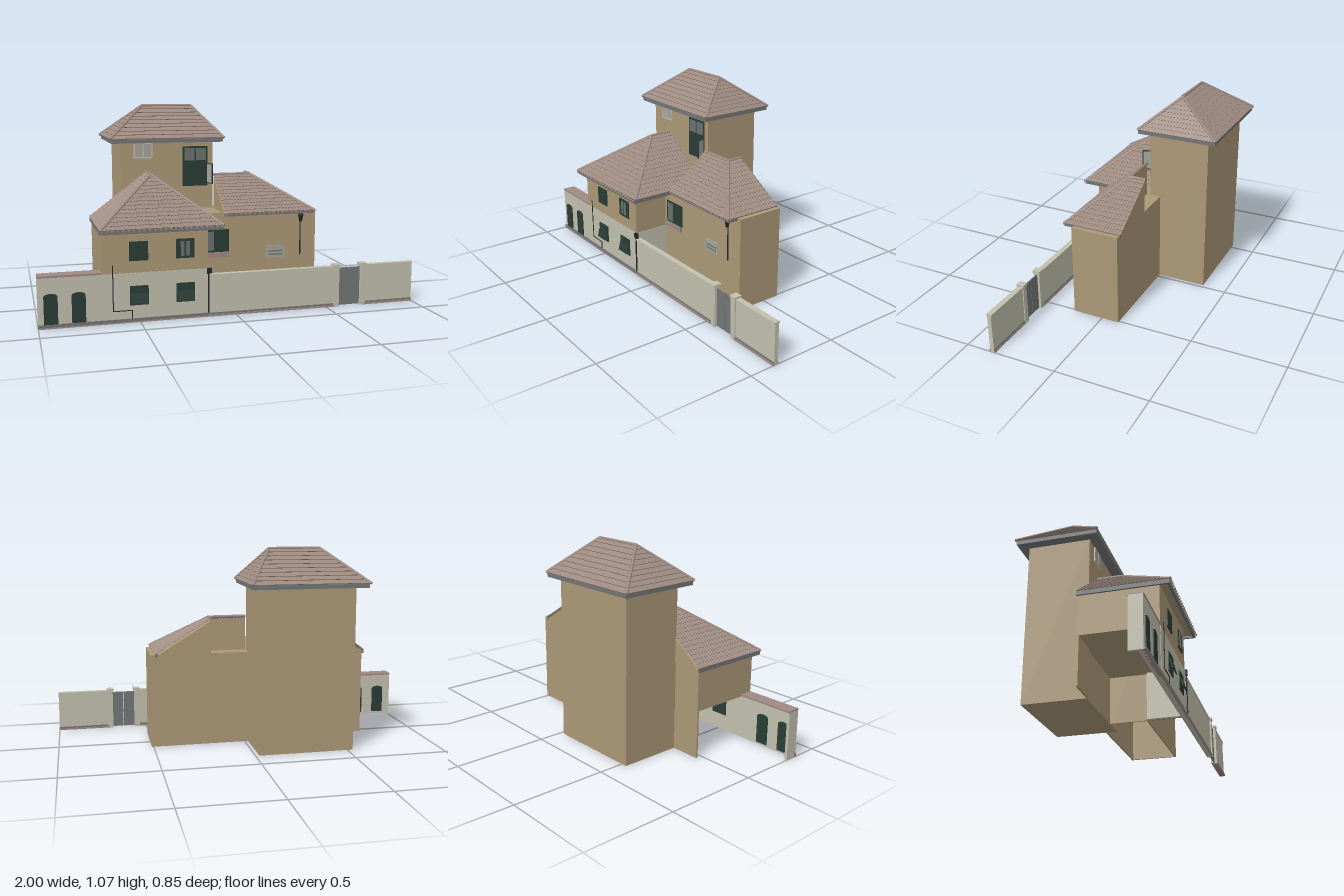
import * as THREE from 'three';
import { ConvexGeometry } from 'three/addons/geometries/ConvexGeometry.js';

const mat = (name, color, extra = {}) => Object.assign(new THREE.MeshStandardMaterial({ color, ...extra }), { name });
const V = (x, y, z) => new THREE.Vector3(x, y, z);

export function createModel() {
  const M = {
    tan: mat('tan plaster', 0xab9877),
    cream: mat('cream plaster', 0xc2c0ae),
    pink: mat('pink stone', 0xa08a85),
    tile: mat('roof tile', 0x9d8a80, { side: THREE.DoubleSide }),
    grey: mat('grey trim', 0x747777),
    green: mat('dark green joinery', 0x2a3d36),
    glass: mat('window glass', 0x69726f),
    pale: mat('pale glass', 0xa3a59c),
    black: mat('black iron', 0x1f2826),
  };
  const model = new THREE.Group();
  model.name = 'villa';

  const add = (name, geo, m, parent = model) => {
    const mesh = new THREE.Mesh(geo, m);
    mesh.name = name;
    parent.add(mesh);
    return mesh;
  };
  // Box given by its limits on each axis
  const box = (name, m, x0, x1, y0, y1, z0, z1, parent) => {
    const b = add(name, new THREE.BoxGeometry(x1 - x0, y1 - y0, z1 - z0), m, parent);
    b.position.set((x0 + x1) / 2, (y0 + y1) / 2, (z0 + z1) / 2);
    return b;
  };
  // Round bar between two points
  const bar = (name, m, p, q, r, parent) => {
    const d = q.clone().sub(p);
    const b = add(name, new THREE.CylinderGeometry(r, r, d.length(), 8), m, parent);
    b.position.copy(p).add(q).multiplyScalar(0.5);
    b.quaternion.setFromUnitVectors(V(0, 1, 0), d.normalize());
    return b;
  };

  // Stepped tile courses on a slope: a, b along the eave, c, d along the ridge
  const slope = (name, a, b, c, d, n, ribs = 0) => {
    const g = new THREE.Group();
    g.name = name;
    model.add(g);
    const normal = b.clone().sub(a).cross(d.clone().add(c).multiplyScalar(0.5).sub(a)).normalize();
    const pts = [];
    const quad = (p, q, r, s) => [p, q, r, p, r, s].forEach(v => pts.push(v.x, v.y, v.z));
    const at = (p, q, k) => p.clone().lerp(q, k / n);
    for (let i = 0; i < n; i++) {
      const a0 = at(a, d, i), b0 = at(b, c, i);
      const a1 = a0.clone().addScaledVector(normal, 0.004), b1 = b0.clone().addScaledVector(normal, 0.004);
      quad(a0, b0, b1, a1);
      quad(a1, b1, at(b, c, i + 1), at(a, d, i + 1));
    }
    const geo = new THREE.BufferGeometry();
    geo.setAttribute('position', new THREE.Float32BufferAttribute(pts, 3));
    geo.computeVertexNormals();
    add('tileCourses', geo, M.tile, g);
    // Ribs run straight up the slope and stop at the hips
    const u = b.clone().sub(a), L = u.length();
    u.normalize();
    const td = d.clone().sub(a).dot(u), tc = c.clone().sub(a).dot(u);
    const up = d.clone().sub(a).addScaledVector(u, -td);
    for (let i = 1; i < ribs; i++) {
      const t = L * i / ribs;
      const k = t < td ? t / td : t > tc ? (L - t) / (L - tc) : 1;
      const p = a.clone().addScaledVector(u, t).addScaledVector(normal, 0.001);
      bar('tileRib', M.tile, p, p.clone().addScaledVector(up, k), 0.0035, g);
    }
  };
  const caps = (...pairs) => pairs.forEach(([p, q]) => bar('ridgeCap', M.tile, p, q, 0.008));

  // ---- Tower ----
  box('tower', M.tan, -0.53, -0.02, 0, 0.87, -0.365, -0.035);
  box('towerEave', M.grey, -0.583, 0.025, 0.867, 0.888, -0.416, 0.017);
  {
    const y = 0.89, fl = V(-0.59, y, 0.02), fr = V(0.03, y, 0.02), br = V(0.03, y, -0.42), bl = V(-0.59, y, -0.42);
    const rl = V(-0.385, 1.06, -0.18), rr = V(-0.11, 1.06, -0.18);
    slope('towerRoofFront', fl, fr, rr, rl, 9);
    slope('towerRoofRight', fr, br, rr, rr, 9);
    slope('towerRoofBack', br, bl, rl, rr, 9);
    slope('towerRoofLeft', bl, fl, rl, rl, 9);
    caps([fl, rl], [bl, rl], [fr, rr], [br, rr], [rl, rr]);
  }

  // ---- Front left wing: open below its left side ----
  box('leftWingUpper', M.tan, -0.69, -0.15, 0.25, 0.475, -0.035, 0.36);
  box('leftWingBackWall', M.tan, -0.69, -0.53, 0, 0.25, -0.035, -0.025);
  box('leftWingLowerFront', M.cream, -0.69, -0.15, 0, 0.252, 0.335, 0.362);
  box('leftWingLowerSide', M.cream, -0.17, -0.148, 0, 0.252, 0.165, 0.36);
  box('sidePlinth', M.grey, -0.15, -0.144, 0, 0.02, 0.165, 0.345);
  {
    const y = 0.478, b = -0.04;
    const fl = V(-0.70, y, 0.415), fr = V(-0.077, y, 0.405), br = V(-0.077, y, b), bl = V(-0.70, y, b);
    const apex = V(-0.39, 0.708, 0.09), back = V(-0.39, 0.708, b);
    add('leftWingLoft', new ConvexGeometry([
      V(-0.69, 0.468, 0.405), V(-0.088, 0.468, 0.395), V(-0.088, 0.468, b), V(-0.69, 0.468, b),
      V(-0.39, 0.695, 0.09), V(-0.39, 0.695, b)]), M.tan);
    slope('leftWingRoofFront', fl, fr, apex, apex, 14, 36);
    slope('leftWingRoofRight', fr, br, back, apex, 14, 26);
    slope('leftWingRoofLeft', bl, fl, apex, back, 14, 26);
    caps([fl, apex], [fr, apex], [apex, back]);
    box('leftWingFasciaFront', M.grey, -0.70, -0.08, 0.457, 0.48, 0.397, 0.41);
    box('leftWingFasciaLeft', M.grey, -0.70, -0.69, 0.457, 0.48, b, 0.41);
    box('leftWingFasciaRight', M.grey, -0.09, -0.079, 0.457, 0.48, b, 0.4);
    for (let i = 0; i < 24; i++) bar('eaveTile', M.tile, V(-0.69 + i * 0.0262, 0.478, 0.39), V(-0.69 + i * 0.0262, 0.471, 0.42), 0.006);
  }

  // ---- Right wing: a shell open underneath ----
  box('rightWingFront', M.tan, -0.15, 0.51, 0, 0.5, 0.157, 0.165);
  box('rightWingEnd', M.tan, 0.502, 0.51, 0, 0.5, -0.095, 0.165);
  box('rightWingBack', M.tan, -0.02, 0.51, 0, 0.5, -0.095, -0.087);
  box('rightWingInnerSide', M.tan, -0.15, -0.142, 0, 0.5, -0.035, 0.165);
  box('rightWingCeiling', M.tan, -0.15, 0.51, 0.49, 0.5, -0.095, 0.165);
  {
    const y = 0.503, e = 0.222, r = -0.015, b = -0.1, top = 0.686;
    add('rightWingGable', new ConvexGeometry([
      V(-0.02, 0.495, 0.21), V(0.2, 0.495, 0.21), V(-0.02, 0.495, r), V(0.2, 0.495, r),
      V(-0.02, top - 0.012, r), V(0.185, top - 0.012, r)]), M.tan);
    add('rightWingLoft', new ConvexGeometry([
      V(0.185, 0.495, 0.21), V(0.475, 0.495, 0.21), V(0.475, 0.495, -0.095), V(0.185, 0.495, -0.095),
      V(0.185, top - 0.012, r), V(0.185, top - 0.012, -0.095)]), M.tan);
    const fl = V(-0.02, y, e), fr = V(0.485, y, e), br = V(0.485, y, b);
    const rl = V(-0.02, top, r), rr = V(0.185, top, r), rb = V(0.185, top, b);
    slope('rightWingRoofFront', fl, fr, rr, rl, 12, 30);
    slope('rightWingRoofRight', fr, br, rb, rr, 12, 20);
    caps([fr, rr], [rl, rr], [rr, rb]);
    box('rightWingFasciaFront', M.grey, -0.02, 0.485, 0.488, 0.507, 0.208, 0.219);
    box('rightWingFasciaRight', M.grey, 0.473, 0.484, 0.488, 0.507, b, 0.215);
    for (let i = 0; i < 20; i++) bar('eaveTile', M.tile, V(-0.01 + i * 0.0258, 0.503, 0.2), V(-0.01 + i * 0.0258, 0.499, 0.227), 0.006);
  }

  // ---- Street walls ----
  box('leftStreetWall', M.cream, -1, -0.69, 0, 0.255, 0.335, 0.36);
  box('leftStreetWallEnd', M.cream, -1, -0.985, 0, 0.255, 0.293, 0.336);
  box('leftWallCap', M.pink, -1, -0.69, 0.252, 0.262, 0.29, 0.362);
  box('leftPlinth', M.grey, -1, -0.15, 0.005, 0.02, 0.355, 0.368);
  box('leftPlinthBase', M.pink, -1, -0.15, 0, 0.006, 0.35, 0.37);
  [[-0.15, 0.545], [0.715, 1]].forEach(([x0, x1]) => {
    box('streetWall', M.cream, x0, x1, 0, 0.212, 0.342, 0.364);
    box('streetWallCap', M.cream, x0, x1, 0.21, 0.22, 0.338, 0.368);
    box('streetWallPlinth', M.grey, x0, x1, 0.008, 0.018, 0.34, 0.367);
    box('streetWallBase', M.pink, x0, x1, 0, 0.009, 0.337, 0.371);
  });
  [0.555, 0.708].forEach(x => {
    box('gatePost', M.cream, x - 0.015, x + 0.015, 0, 0.218, 0.337, 0.371);
    box('gatePostCap', M.cream, x - 0.019, x + 0.019, 0.216, 0.23, 0.333, 0.375);
  });
  [0.57, 0.634].forEach(x => box('gateLeaf', M.grey, x, x + 0.061, 0.004, 0.208, 0.35, 0.357));

  // ---- Doors with a low arch, visible on both faces of the wall ----
  [-0.938, -0.803].forEach(x => {
    const s = new THREE.Shape();
    s.moveTo(-0.034, 0).lineTo(0.034, 0).lineTo(0.034, 0.148);
    s.bezierCurveTo(0.026, 0.166, -0.026, 0.166, -0.034, 0.148);
    const door = add('archedDoor', new THREE.ExtrudeGeometry(s, { depth: 0.034, bevelEnabled: false }), M.green);
    door.position.set(x, 0.012, 0.331);
  });

  // ---- Windows ----
  const win = (name, x0, x1, y0, y1, z, m = M.green) => box(name, m, x0, x1, y0, y1, z - 0.004, z + 0.005);
  win('closedShutters', -0.552, -0.457, 0.313, 0.41, 0.361);
  win('openWindow', -0.315, -0.222, 0.313, 0.412, 0.361);
  win('windowPane', -0.292, -0.273, 0.325, 0.4, 0.363, M.glass);
  win('windowPane', -0.264, -0.245, 0.325, 0.4, 0.363, M.glass);
  [-0.504, -0.267].forEach(x => {
    box('lowerWindow', M.green, x - 0.047, x + 0.047, 0.088, 0.186, 0.331, 0.367);
    const flap = box('tiltedShutter', M.green, x - 0.044, x + 0.044, 0.1, 0.15, 0.374, 0.378);
    flap.rotation.x = -0.25;
  });
  win('sideWindow', -0.125, 0.015, 0.29, 0.412, 0.166);
  win('sideWindowPane', -0.115, -0.068, 0.3, 0.402, 0.168, M.glass);
  box('windowSill', M.pink, -0.13, 0.01, 0.262, 0.29, 0.16, 0.178);
  win('ventFrame', 0.228, 0.332, 0.243, 0.308, 0.165, M.pale);
  [0.257, 0.275].forEach(y => box('ventSlot', M.grey, 0.24, 0.32, y, y + 0.008, 0.168, 0.172));
  win('towerWindowFrame', -0.457, -0.355, 0.782, 0.866, -0.035, M.cream);
  win('towerPane', -0.45, -0.409, 0.79, 0.86, -0.033, M.pale);
  win('towerPane', -0.403, -0.362, 0.79, 0.86, -0.033, M.pale);

  // ---- Tall tower window with one leaf standing open ----
  win('tallWindow', -0.19, -0.05, 0.625, 0.842, -0.035);
  win('tallWindowPane', -0.18, -0.124, 0.765, 0.832, -0.033, M.glass);
  win('tallWindowPane', -0.116, -0.06, 0.765, 0.832, -0.033, M.glass);
  {
    const leaf = new THREE.Group();
    leaf.name = 'openLeaf';
    leaf.position.set(-0.054, 0, -0.033);
    leaf.rotation.y = 0.33;
    model.add(leaf);
    box('leafGlass', M.pale, -0.001, 0.001, 0.64, 0.745, 0, 0.054, leaf);
    [0.638, 0.744].forEach(y => box('leafRail', M.green, -0.003, 0.003, y, y + 0.005, 0, 0.056, leaf));
    [0, 0.052].forEach(z => box('leafStile', M.green, -0.003, 0.003, 0.638, 0.749, z, z + 0.004, leaf));
  }

  // ---- Pipes and wall lamp ----
  bar('downpipe', M.black, V(-0.147, 0.02, 0.367), V(-0.147, 0.25, 0.367), 0.004);
  box('rainHead', M.black, -0.156, -0.132, 0.225, 0.253, 0.358, 0.372);
  const path = [V(-0.635, 0.295, 0.364), V(-0.635, 0.062, 0.364), V(-0.54, 0.062, 0.364), V(-0.54, 0.02, 0.364)];
  for (let i = 0; i < 3; i++) bar('servicePipe', M.black, path[i], path[i + 1], 0.0025);
  bar('lampPole', M.black, V(0.42, 0.25, 0.172), V(0.42, 0.49, 0.172), 0.0035);
  const lantern = add('lantern', new THREE.CylinderGeometry(0.014, 0.008, 0.035, 6), M.black);
  lantern.position.set(0.42, 0.453, 0.178);
  const hood = add('lanternHood', new THREE.ConeGeometry(0.018, 0.02, 6), M.black);
  hood.position.set(0.42, 0.481, 0.178);
  return model;
}
